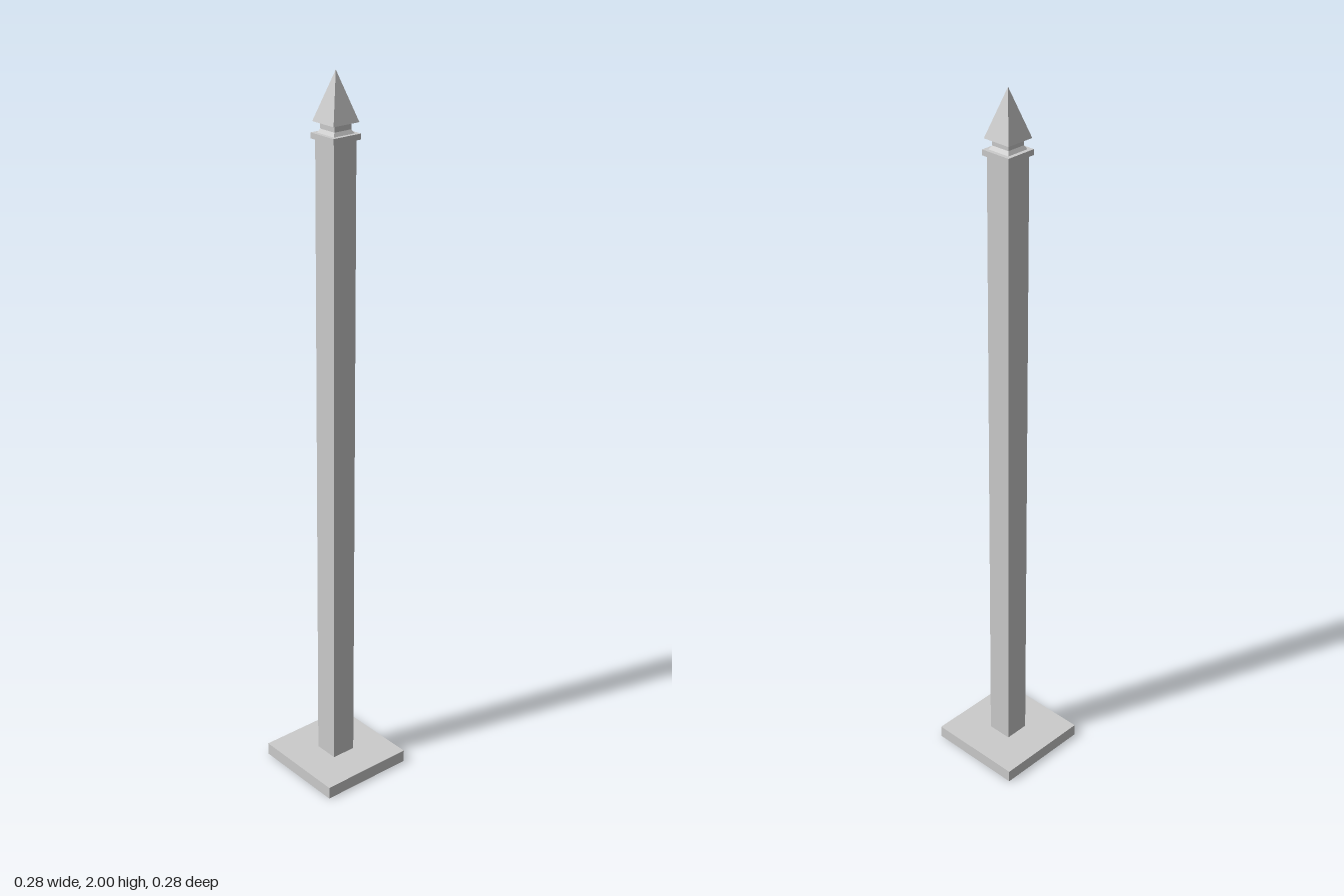
import * as THREE from 'three';

const material = new THREE.MeshStandardMaterial({
  color: 0xcccccc, flatShading: true, side: THREE.DoubleSide,
});

// Square-section shell from [width, height] pairs, listed bottom to top
function squareShell(name, profile) {
  const points = profile.map(([w, y]) => new THREE.Vector2(w * Math.SQRT1_2, y));
  const mesh = new THREE.Mesh(new THREE.LatheGeometry(points, 4, Math.PI / 4), material);
  mesh.name = name;
  return mesh;
}

export function createModel() {
  const model = new THREE.Group();
  model.name = 'squarePost';
  model.add(
    // Base plate, open underneath, with a hole into the hollow post
    squareShell('basePlate', [[0.28, 0], [0.28, 0.036], [0.072, 0.036]]),
    squareShell('post', [[0.072, 0.036], [0.072, 1.83]]),
    // Flat ledge around the post top
    squareShell('collar', [[0.072, 1.83], [0.088, 1.83], [0.088, 1.845], [0.066, 1.845]]),
    // Stepped neck under the point
    squareShell('neck', [[0.066, 1.845], [0.054, 1.855], [0.054, 1.873]]),
    // Pyramid point with flat underside
    squareShell('finial', [[0.054, 1.873], [0.082, 1.873], [0, 2]]),
  );
  return model;
}
